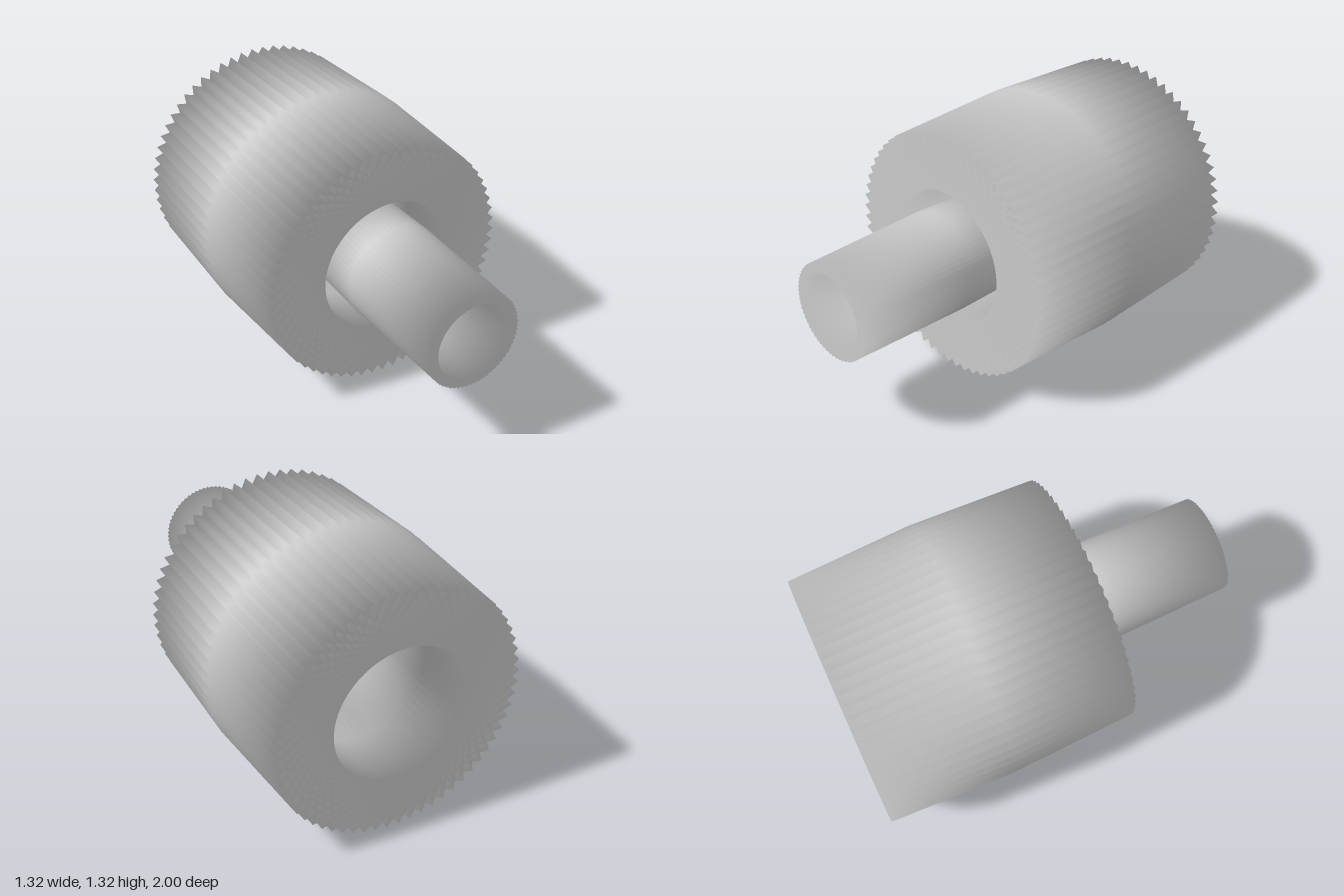
import * as THREE from 'three';

const AXIS_Y = 0.667;   // height of the common axis
const HALF_LENGTH = 0.645;
const POINTS = 63;      // teeth on each woven sleeve

export function createModel() {
  const model = new THREE.Group();
  const material = new THREE.MeshStandardMaterial({ color: 0xcccccc });

  const add = (name, geometry, z) => {
    const mesh = new THREE.Mesh(geometry, material);
    mesh.name = name;
    mesh.position.set(0, AXIS_Y, z);
    model.add(mesh);
    return mesh;
  };

  // A thin diamond-section band that winds many turns in long straight chords,
  // weaving a toothed star pattern around a round hole, stretched along z
  const sleeve = (name, radius, thickness, turns, z) => {
    const geometry = new THREE.TorusGeometry(radius, thickness, 4, POINTS, turns * Math.PI * 2);
    geometry.scale(1, 1, HALF_LENGTH / thickness);
    return add(name, geometry, z);
  };

  sleeve('outerSleeve', 0.635, 0.025, 20, -0.355);
  sleeve('innerSleeve', 0.245, 0.0125, 13, 0.355);

  // Ball floating on the axis
  add('coreBall', new THREE.SphereGeometry(0.134, 48, 32), 0);

  return model;
}
